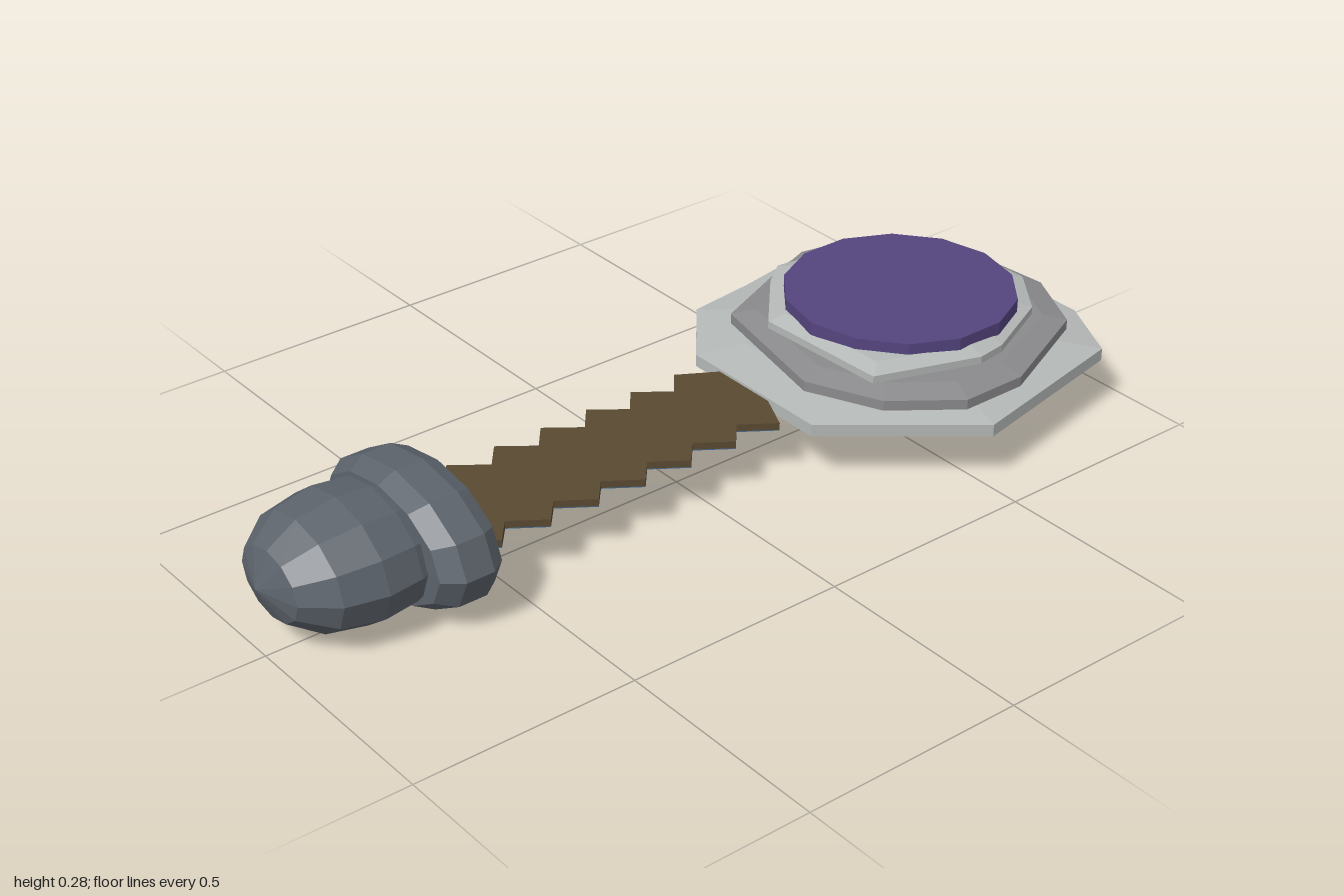
import * as THREE from 'three';

const mat = (name, color) => {
  const m = new THREE.MeshStandardMaterial({ color, flatShading: true });
  m.name = name;
  return m;
};

// Unshared vertices give crisp facets
function flat(geo) {
  const g = geo.index ? geo.toNonIndexed() : geo;
  g.computeVertexNormals();
  return g;
}

// Irregular slab: an [x, z] outline repeated at [scale, y] levels, capped both ends
function slabGeometry(outline, cx, cz, levels) {
  const n = outline.length, pos = [], idx = [];
  for (const [s, y] of levels)
    for (const [x, z] of outline) pos.push(cx + (x - cx) * s, y, cz + (z - cz) * s);
  const bottom = levels.length * n, top = bottom + 1;
  pos.push(cx, levels[0][1], cz, cx, levels[levels.length - 1][1], cz);
  for (let i = 0; i < n; i++) {
    const j = (i + 1) % n, last = (levels.length - 1) * n;
    for (let k = 0; k < levels.length - 1; k++) {
      const a = k * n, b = a + n;
      idx.push(a + i, b + i, a + j, a + j, b + i, b + j);
    }
    idx.push(bottom, i, j, top, last + j, last + i);
  }
  const g = new THREE.BufferGeometry();
  g.setAttribute('position', new THREE.Float32BufferAttribute(pos, 3));
  g.setIndex(idx);
  return flat(g);
}

// Flat plate with an [x, z] outline, rising from y by thickness
function plateGeometry(outline, y, thickness) {
  const shape = new THREE.Shape(outline.map(([x, z]) => new THREE.Vector2(x, -z)));
  const g = new THREE.ExtrudeGeometry(shape, { depth: thickness, bevelEnabled: false });
  g.rotateX(-Math.PI / 2);
  g.translate(0, y, 0);
  return flat(g);
}

// Faceted solid turned about the z axis, squashed in y; profile is [radius, z]
function turnedGeometry(profile, squash) {
  const g = new THREE.LatheGeometry(profile.map(([r, z]) => new THREE.Vector2(r, z)), 12);
  g.rotateX(Math.PI / 2);
  g.scale(1, squash, 1);
  g.translate(-0.02, 0.145, 0);
  return flat(g);
}

export function createModel() {
  const group = new THREE.Group();
  const paleStone = mat('pale stone', 0xb4b8b6);
  const greyStone = mat('grey stone', 0x8a8a8d);
  const darkMetal = mat('dark metal', 0x5c636b);
  const collarFaceGrey = mat('collar face grey', 0x717276);
  const purple = mat('purple', 0x54447e);
  const brown = mat('brown', 0x594932);
  const blue = mat('blue', 0x466c92);
  const add = (name, geo, material) => {
    const m = new THREE.Mesh(geo, material);
    m.name = name;
    group.add(m);
  };

  // Head: three stacked rough slabs
  add('headBase', slabGeometry([
    [-0.02, -1], [0.17, -1], [0.33, -0.92], [0.415, -0.51], [0.18, -0.215],
    [-0.2, -0.215], [-0.36, -0.345], [-0.38, -0.51], [-0.415, -0.7], [-0.355, -0.89],
  ], 0, -0.61, [[0.55, 0.092], [1, 0.119], [1, 0.147], [0.75, 0.163]]), paleStone);
  add('headMiddle', slabGeometry([
    [-0.085, -0.965], [0.08, -0.98], [0.24, -0.9], [0.355, -0.645], [0.355, -0.49],
    [0.25, -0.35], [0.085, -0.275], [-0.24, -0.345], [-0.31, -0.51], [-0.367, -0.66], [-0.34, -0.81],
  ], 0, -0.62, [[0.8, 0.148], [1, 0.164], [1, 0.187], [0.85, 0.2]]), greyStone);
  add('headTop', slabGeometry([
    [-0.12, -0.915], [0.075, -0.925], [0.19, -0.84], [0.27, -0.67], [0.28, -0.6],
    [0.2, -0.365], [-0.12, -0.35], [-0.26, -0.475], [-0.305, -0.535], [-0.265, -0.81],
  ], 0, -0.63, [[0.85, 0.19], [1, 0.201], [1, 0.218], [0.87, 0.23]]), paleStone);

  // Round inlay on the head
  const disc = new THREE.CylinderGeometry(0.257, 0.257, 0.03, 14);
  disc.translate(-0.008, 0.24, -0.63);
  add('inlay', flat(disc), purple);

  // Grip: thin board with saw-tooth edges
  const right = [], left = [], step = 0.118;
  for (let k = 0; k < 7; k++) {
    right.push([0.125, -0.175 + k * step]);
    if (k < 6) right.push([0.074, -0.101 + k * step]);
    if (k < 6) left.push([-0.17, -0.13 + k * step], [-0.115, -0.085 + k * step]);
  }
  const leftUp = [...left].reverse();
  add('grip', plateGeometry([
    [-0.11, -0.25], [0.04, -0.25], [0.04, -0.215], ...right, [0.1, 0.575], [0.1, 0.6],
    [-0.16, 0.6], [-0.16, 0.57], ...leftUp, [-0.12, -0.215],
  ], 0.125, 0.016), brown);

  // Coloured underside of the grip, in two pieces
  add('gripUnderside', plateGeometry([
    ...right.slice(2), [0.1, 0.575], ...leftUp,
  ], 0.123, 0.002), blue);
  add('gripUndersideTip', plateGeometry([
    [-0.11, -0.215], [0.04, -0.215], [0.125, -0.175], [0.074, -0.101],
  ], 0.123, 0.002), blue);

  // Pommel: flattened collar and rounded knob
  add('collar', turnedGeometry([
    [0.17, 0.577], [0.208, 0.577], [0.232, 0.61], [0.232, 0.675], [0.2, 0.715], [0, 0.718],
  ], 0.605), darkMetal);
  add('collarFace', turnedGeometry([[0, 0.585], [0.17, 0.577]], 0.605), collarFaceGrey);
  add('knob', turnedGeometry([
    [0.155, 0.7], [0.167, 0.73], [0.177, 0.81], [0.157, 0.9], [0.1, 0.967], [0, 0.998],
  ], 0.75), darkMetal);

  return group;
}
